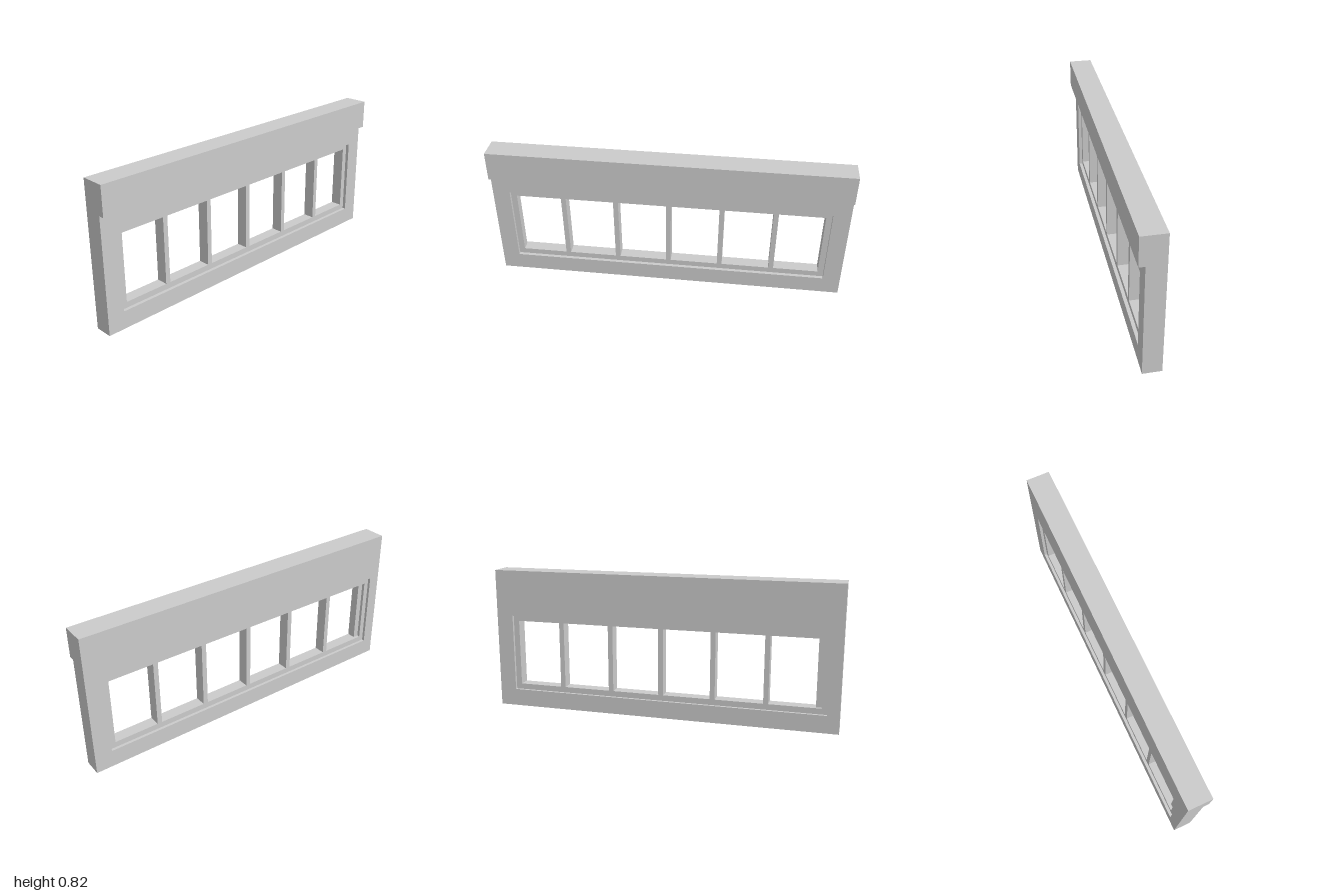
import * as THREE from 'three';

const material = new THREE.MeshStandardMaterial({ color: 0xcccccc, flatShading: true });

// Box given by its limits on each axis
function block(name, x0, x1, y0, y1, z0, z1) {
  const mesh = new THREE.Mesh(new THREE.BoxGeometry(x1 - x0, y1 - y0, z1 - z0), material);
  mesh.position.set((x0 + x1) / 2, (y0 + y1) / 2, (z0 + z1) / 2);
  mesh.name = name;
  return mesh;
}

function rectangle(target, x0, x1, y0, y1) {
  target.moveTo(x0, y0);
  target.lineTo(x1, y0);
  target.lineTo(x1, y1);
  target.lineTo(x0, y1);
  target.closePath();
  return target;
}

// Wall slab with one rectangular opening
function wallLayer(name, left, right, bottom, top, z0, z1) {
  const shape = rectangle(new THREE.Shape(), -1, 1, 0, 0.817);
  shape.holes.push(rectangle(new THREE.Path(), left, right, bottom, top));
  const geometry = new THREE.ExtrudeGeometry(shape, { depth: z1 - z0, bevelEnabled: false });
  geometry.translate(0, 0, z0);
  const mesh = new THREE.Mesh(geometry, material);
  mesh.name = name;
  return mesh;
}

export function createModel() {
  const model = new THREE.Group();
  model.name = 'windowWall';

  const outer = 0.903, inner = 0.87;
  const bottom = 0.1, top = 0.55, paneBottom = 0.133, paneTop = 0.518;
  const back = -0.051, front = 0.016;

  // Wall: the rear layer has a rebate beside one jamb
  model.add(wallLayer('wall', -outer, outer, bottom, top, back, 0.035));
  model.add(wallLayer('wallRear', -0.933, outer, bottom, top, -0.067, back));

  // Projecting band along the top
  model.add(block('lintel', -1, 1, 0.652, 0.817, 0.035, 0.067));

  // Window frame, slightly recessed from both faces
  const frame = new THREE.Group();
  frame.name = 'windowFrame';
  frame.add(block('sill', -outer, outer, bottom, paneBottom, back, front));
  frame.add(block('head', -outer, outer, paneTop, top, back, front));
  frame.add(block('leftJamb', inner, outer, paneBottom, paneTop, back, front));
  frame.add(block('rightJamb', -outer, -inner, paneBottom, paneTop, -0.034, front));

  // Five mullions between six openings
  for (let i = -2; i <= 2; i++) {
    const x = i * 0.3;
    frame.add(block('mullion', x - 0.014, x + 0.014, paneBottom, paneTop, back, front));
  }
  model.add(frame);
  return model;
}
